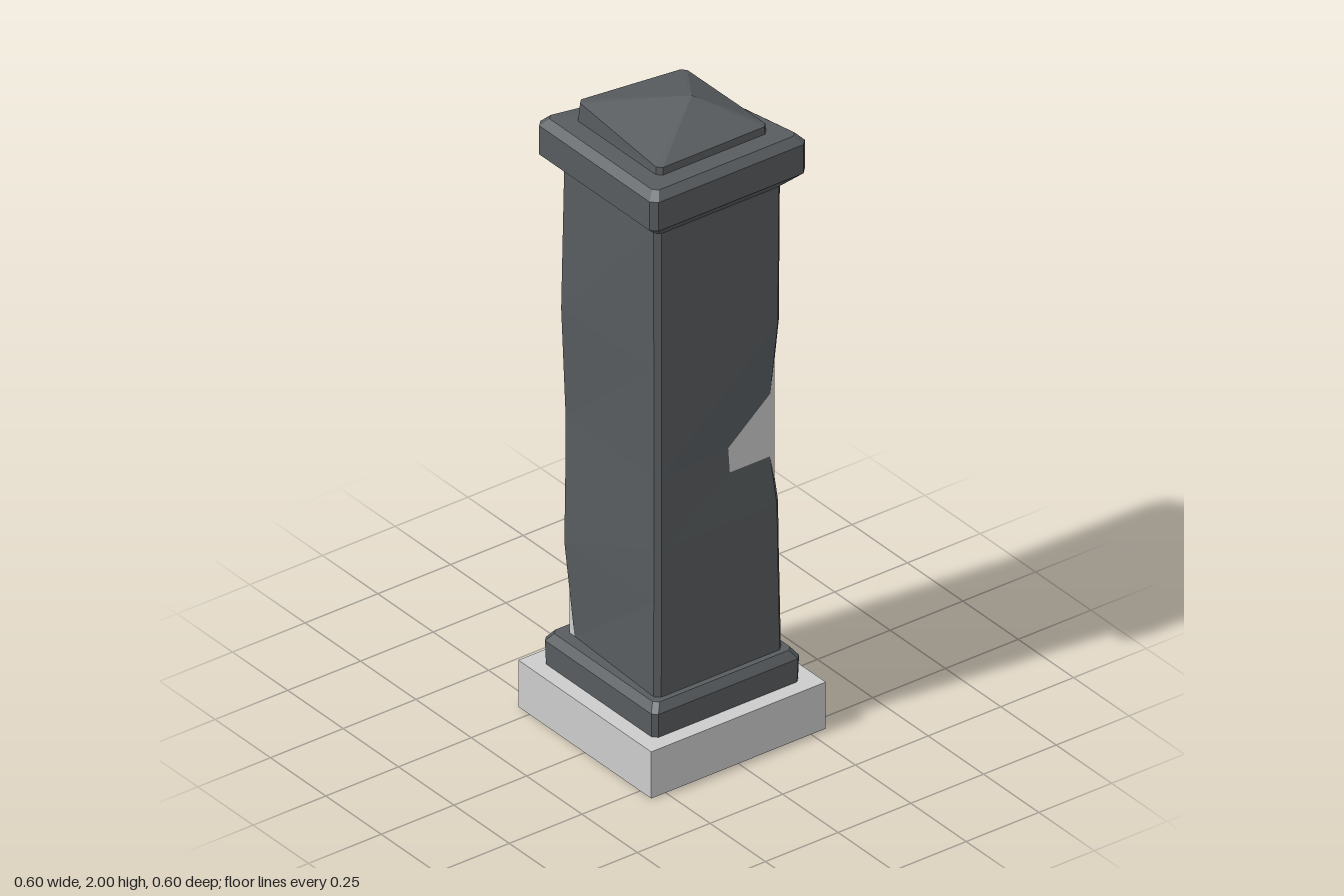
import * as THREE from 'three';

// Corner order, counter-clockwise from above
const CORNERS = [[1, 1], [1, -1], [-1, -1], [-1, 1]];
const FRONT_LEFT = 0, BACK_LEFT = 1, BACK_RIGHT = 2;

// One square section with cut corners; dents move single corners by [x, y, z]
function section(y, half, cut, dents = {}) {
  const points = [];
  CORNERS.forEach(([sx, sz], i) => {
    const [dx, dy, dz] = dents[i] || [0, 0, 0];
    const onZ = new THREE.Vector3(sx * (half - cut) + dx, y + dy, sz * half + dz);
    const onX = new THREE.Vector3(sx * half + dx, y + dy, sz * (half - cut) + dz);
    points.push(...(sx * sz > 0 ? [onZ, onX] : [onX, onZ]));
  });
  return points;
}

// Joins sections from bottom to top and closes both ends with fans
function loft(sections, apex) {
  const out = [];
  const tri = (...p) => p.forEach((v) => out.push(v.x, v.y, v.z));
  const centre = (s) => s.reduce((sum, p) => sum.add(p), new THREE.Vector3()).divideScalar(s.length);
  const first = sections[0], last = sections[sections.length - 1];
  const bottom = centre(first), top = apex || centre(last);
  for (let i = 0; i < 8; i++) {
    const j = (i + 1) % 8;
    for (let k = 0; k < sections.length - 1; k++) {
      const a = sections[k], b = sections[k + 1];
      tri(a[i], a[j], b[j]);
      tri(a[i], b[j], b[i]);
    }
    tri(first[j], first[i], bottom);
    tri(last[i], last[j], top);
  }
  const geometry = new THREE.BufferGeometry();
  geometry.setAttribute('position', new THREE.Float32BufferAttribute(out, 3));
  geometry.computeVertexNormals();
  return geometry;
}

export function createModel() {
  const group = new THREE.Group();
  const stone = new THREE.MeshStandardMaterial({ color: 0x585c5f, flatShading: true });
  stone.name = 'dark stone';
  const concrete = new THREE.MeshStandardMaterial({ color: 0xcccccc, flatShading: true });
  concrete.name = 'pale concrete';

  const add = (name, geometry, material) => {
    const mesh = new THREE.Mesh(geometry, material);
    mesh.name = name;
    group.add(mesh);
    return mesh;
  };

  // Pale footing and inner core, seen where the cladding is chipped
  add('footing', new THREE.BoxGeometry(0.6, 0.15, 0.6), concrete).position.y = 0.075;
  add('core', new THREE.BoxGeometry(0.4, 1.757, 0.4), concrete).position.y = 0.14 + 1.757 / 2;

  // Plinth
  add('plinth', loft([
    section(0.15, 0.252, 0.014),
    section(0.225, 0.254, 0.014),
    section(0.25, 0.236, 0.014),
  ]), stone);

  // Shaft, worn at one foot corner and halfway up another
  add('shaft', loft([
    section(0.245, 0.219, 0.015, { [BACK_RIGHT]: [0.019, 0, 0.027] }),
    section(0.55, 0.215, 0.015, { [BACK_RIGHT]: [-0.003, 0, 0] }),
    section(0.72, 0.215, 0.015, { [FRONT_LEFT]: [-0.003, 0, 0] }),
    section(0.95, 0.214, 0.015, { [FRONT_LEFT]: [-0.021, 0, -0.022] }),
    section(1.3, 0.215, 0.015, { [BACK_RIGHT]: [-0.01, 0, -0.005] }),
    section(1.745, 0.217, 0.015),
  ]), stone);

  // Cap moulding with one broken upper corner
  add('cap', loft([
    section(1.74, 0.217, 0.015, { [BACK_LEFT]: [0, -0.003, 0] }),
    section(1.79, 0.267, 0.018, { [BACK_LEFT]: [-0.011, -0.025, 0.01] }),
    section(1.882, 0.267, 0.018, { [BACK_LEFT]: [-0.02, -0.045, 0.02] }),
    section(1.905, 0.245, 0.014, { [BACK_LEFT]: [-0.04, -0.032, 0.04] }),
    section(1.905, 0.17, 0.01),
  ]), stone);

  // Small pyramid with a lifted corner and an off-centre tip
  add('finial', loft([
    section(1.9, 0.19, 0.014, { [BACK_LEFT]: [-0.002, 0, 0.002] }),
    section(1.928, 0.188, 0.014, {
      [BACK_LEFT]: [-0.006, 0.004, 0.004],
      [BACK_RIGHT]: [0, 0.037, 0.006],
    }),
  ], new THREE.Vector3(0.045, 2, 0.03)), stone);

  return group;
}
